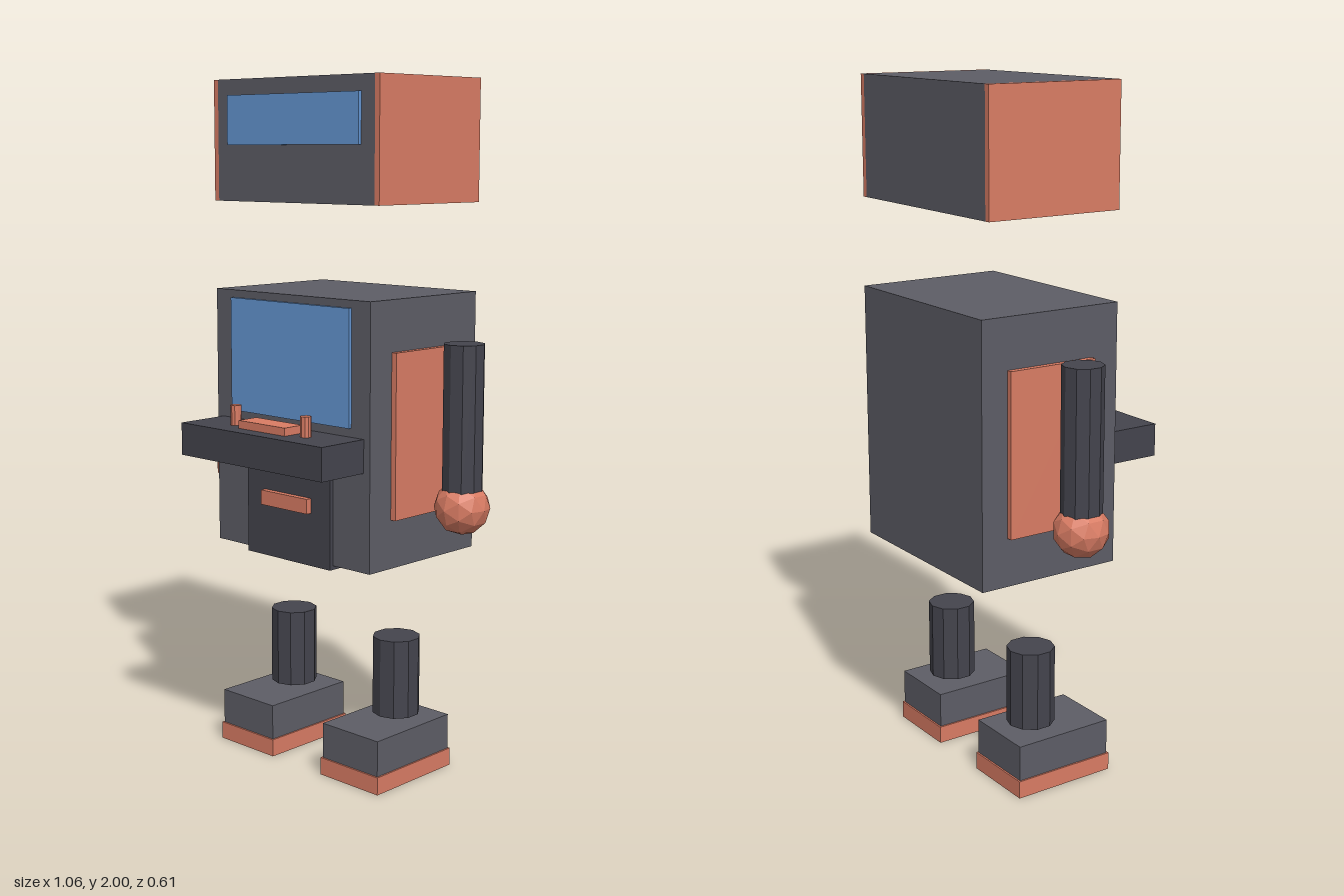
import * as THREE from 'three';

const material = (color) => new THREE.MeshStandardMaterial({ color, flatShading: true });

export function createModel() {
  const model = new THREE.Group();
  model.name = 'robot';
  const grey = material(0x5d5d66);
  const dark = material(0x44444d);
  const orange = material(0xd97c64);
  const blue = material(0x6496d2);

  const add = (name, geometry, mat, x, y, z) => {
    const mesh = new THREE.Mesh(geometry, mat);
    mesh.name = name;
    mesh.position.set(x, y, z);
    model.add(mesh);
    return mesh;
  };
  // box given by its limits on each axis
  const box = (name, mat, [x0, x1], [y0, y1], [z0, z1]) =>
    add(name, new THREE.BoxGeometry(x1 - x0, y1 - y0, z1 - z0), mat,
      (x0 + x1) / 2, (y0 + y1) / 2, (z0 + z1) / 2);
  // upright cylinder between two heights
  const post = (name, mat, r, sides, x, [y0, y1], z) =>
    add(name, new THREE.CylinderGeometry(r, r, y1 - y0, sides), mat, x, (y0 + y1) / 2, z);
  const wide = (half) => [-half, half];

  // floating head with visor
  box('head', grey, wide(0.306), [1.655, 2], [-0.293, 0.129]);
  box('visor', blue, wide(0.257), [1.815, 1.955], [0.12, 0.14]);

  // cabinet body with screen
  box('body', grey, wide(0.306), [0.645, 1.4], [-0.307, 0.142]);
  box('screen', blue, wide(0.236), [1.047, 1.378], [0.13, 0.152]);

  // control shelf
  box('shelf', dark, wide(0.283), [0.927, 1.022], [0.13, 0.307]);
  box('keypad', orange, wide(0.093), [1.015, 1.045], [0.189, 0.258]);

  // lower front panel with its slot
  box('lowerPanel', dark, wide(0.167), [0.633, 0.893], [0.107, 0.154]);
  box('slot', orange, wide(0.093), [0.787, 0.83], [0.14, 0.172]);

  // mirrored parts
  for (const [side, s] of [['left', 1], ['right', -1]]) {
    const span = (a, b) => (s > 0 ? [a, b] : [-b, -a]);

    box(side + 'HeadPanel', orange, span(0.306, 0.323), [1.655, 2], [-0.293, 0.129]);
    box(side + 'BodyPanel', orange, span(0.3, 0.323), [0.785, 1.255], [-0.225, 0.055]);
    post(side + 'Joystick', orange, 0.016, 10, s * 0.141, [1.015, 1.08], 0.224);

    // arm and faceted hand
    post(side + 'Arm', dark, 0.058, 10, s * 0.449, [0.85, 1.28], -0.082);
    add(side + 'Hand', new THREE.IcosahedronGeometry(0.079, 1), orange, s * 0.449, 0.823, -0.082);

    // leg, foot and sole
    post(side + 'Leg', dark, 0.07, 10, s * 0.212, [0.17, 0.402], -0.08);
    box(side + 'Foot', grey, span(0.105, 0.319), [0.05, 0.157], [-0.191, 0.119]);
    box(side + 'Sole', orange, span(0.1, 0.324), [0, 0.052], [-0.196, 0.124]);
  }
  return model;
}
